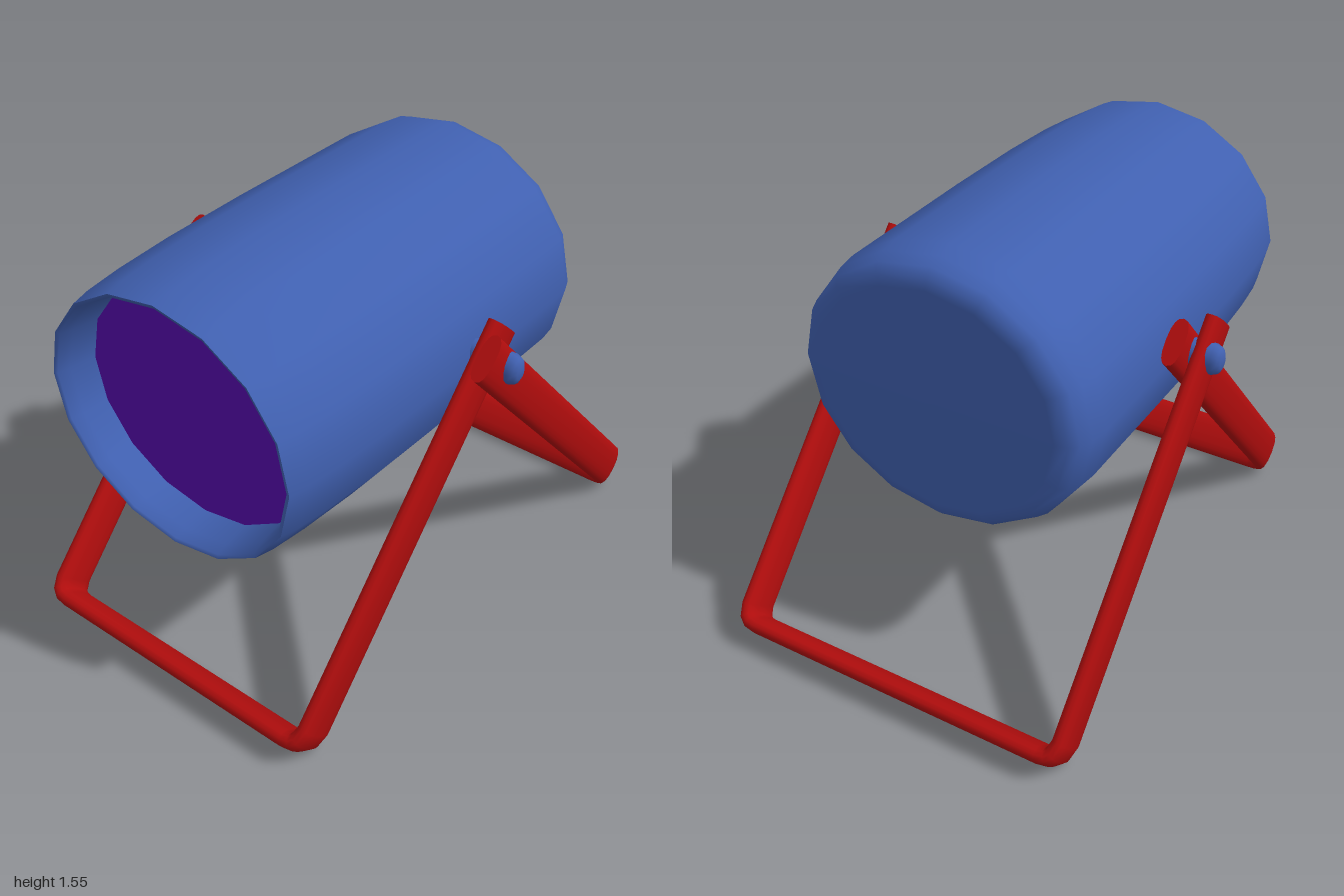
import * as THREE from 'three';
import { toCreasedNormals } from 'three/addons/utils/BufferGeometryUtils.js';

const mat = (color) => new THREE.MeshStandardMaterial({ color });
const v2 = (p) => p.map(([r, y]) => new THREE.Vector2(r, y));

function add(group, name, geometry, material) {
  const mesh = new THREE.Mesh(geometry, material);
  mesh.name = name;
  group.add(mesh);
  return mesh;
}

// Oval 16-sided lathe lying along z
function ovalLathe(points) {
  return new THREE.LatheGeometry(v2(points), 16).rotateX(Math.PI / 2).scale(1.1, 1, 1);
}

// U-shaped bar: a flat oval section swept along a path in the local xy plane
function barGeometry(c, length, halfThick = 0.032, halfWide = 0.082, sides = 16) {
  const half = [[c, length], [c, 0.06], [c - 0.012, 0.02], [c - 0.03, 0.005], [c - 0.06, 0]];
  const path = v2([...half, ...half.map(([x, y]) => [-x, y]).reverse()]);
  const pos = [], idx = [], last = path.length - 1;
  path.forEach((p, i) => {
    const inDir = path[Math.max(i, 1)].clone().sub(path[Math.max(i, 1) - 1]).normalize();
    const j = Math.min(i, last - 1);
    const outDir = path[j + 1].clone().sub(path[j]).normalize();
    const t = inDir.clone().add(outDir).normalize();
    const miter = halfThick / t.dot(inDir);
    for (let k = 0; k < sides; k++) {
      const a = (k / sides) * Math.PI * 2;
      const soft = (s) => Math.sign(s) * Math.abs(s) ** 0.8;
      const u = soft(Math.cos(a)) * miter, w = soft(Math.sin(a)) * halfWide;
      pos.push(p.x - t.y * u, p.y + t.x * u, w);
      if (i < last) {
        const A = i * sides + k, B = i * sides + (k + 1) % sides;
        idx.push(A, B, A + sides, B, B + sides, A + sides);
      }
    }
  });
  // Flat end caps
  const e = last * sides;
  for (let k = 1; k < sides - 1; k++) idx.push(0, k + 1, k, e, e + k, e + k + 1);
  const g = new THREE.BufferGeometry();
  g.setAttribute('position', new THREE.Float32BufferAttribute(pos, 3));
  g.setIndex(idx);
  return toCreasedNormals(g, 1.0);
}

export function createModel() {
  const model = new THREE.Group();
  const blue = mat(0x4060b0), red = mat(0xb00d0d), purple = mat(0x560cad);
  red.side = THREE.DoubleSide;

  // Lamp housing, with a recessed front
  const lamp = new THREE.Group();
  lamp.name = 'lampHead';
  lamp.position.y = 1.06;
  model.add(lamp);
  add(lamp, 'housing', ovalLathe([
    [0, -0.655], [0.4, -0.65], [0.44, -0.64], [0.465, -0.615], [0.482, -0.57], [0.49, -0.5],
    [0.49, 0.1], [0.485, 0.45], [0.475, 0.68], [0.463, 0.82], [0.45, 0.89],
  ]), blue);
  add(lamp, 'innerRim', ovalLathe([
    [0.45, 0.89], [0.437, 0.885], [0.427, 0.84], [0.415, 0.74],
  ]), blue);
  const lens = add(lamp, 'lens', new THREE.CircleGeometry(0.418, 16).scale(1.1, 1, 1), purple);
  lens.position.z = 0.745;

  // Crossed stand bars: the inner one leans forward, the outer one back
  [['frontStand', 0.565, 1], ['rearStand', 0.629, -1]].forEach(([name, c, dir]) => {
    const bar = add(model, name, barGeometry(c, 1.5), red);
    bar.position.set(0, 0.068, 0.93 * dir);
    bar.rotation.x = -0.752 * dir;
  });

  // Pivot pins with rounded heads
  for (const side of [1, -1]) {
    const pin = new THREE.LatheGeometry(v2([
      [0, 0.5], [0.043, 0.5], [0.043, 0.67], [0.036, 0.69], [0.022, 0.699], [0, 0.7],
    ]), 12).rotateZ(-Math.PI / 2 * side).scale(1, 1.3, 1);
    const mesh = add(model, side > 0 ? 'leftPivot' : 'rightPivot', toCreasedNormals(pin, 0.9), blue);
    mesh.position.set(0, 1.085, -0.008);
  }
  return model;
}
